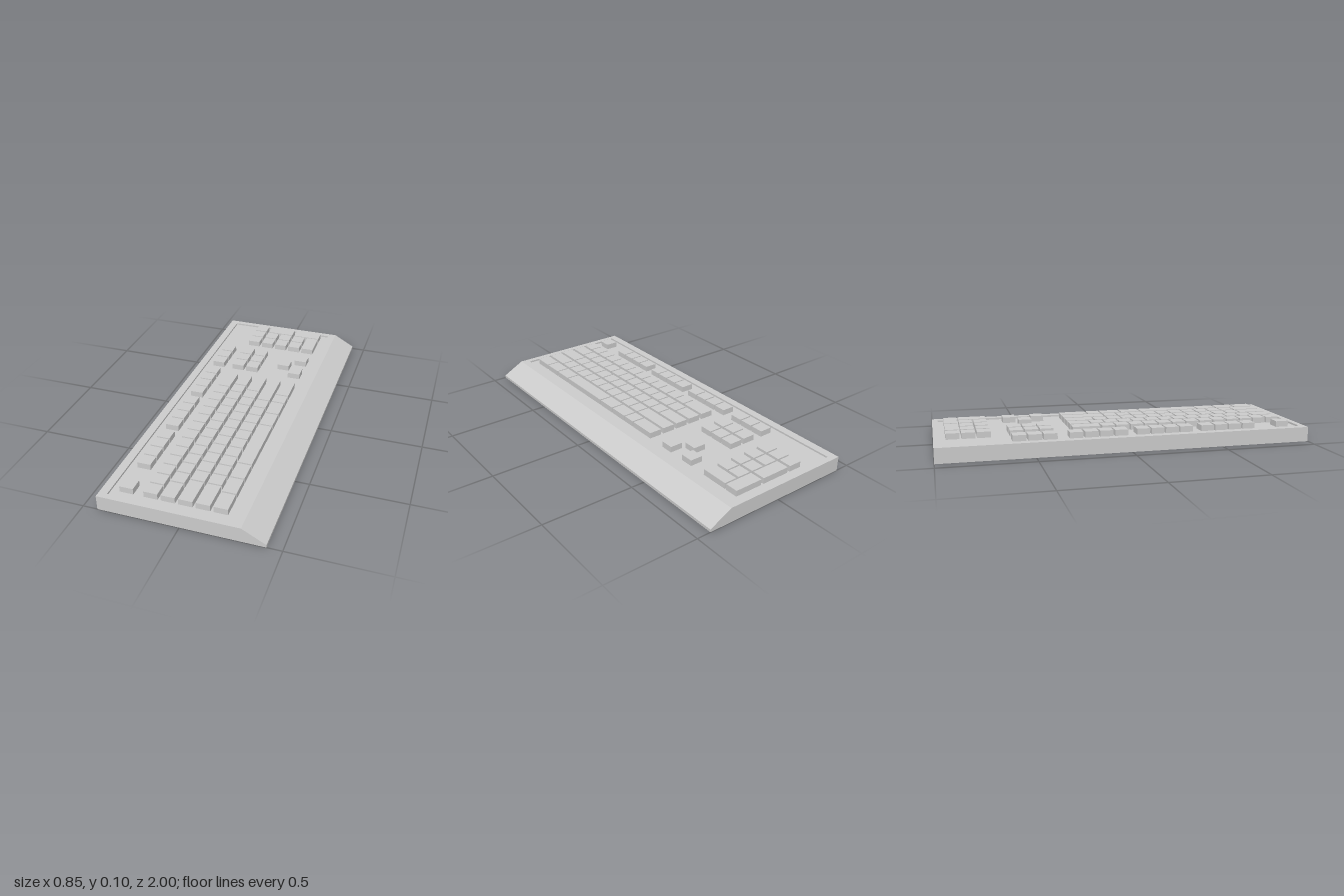
import * as THREE from 'three';

const FLOOR = 0.07, DECK = 0.08, KEY_TOP = 0.102; // heights
const U = 0.0802, GAP = 0.009, ORIGIN = 0.927;    // key pitch along z, gap, start of the rows
const ROW_W = 0.072;
const ROWS = { fn: -0.301, digit: -0.175, upper: -0.086, home: 0.003, lower: 0.091, bottom: 0.179 };

export function createModel() {
  const group = new THREE.Group();
  group.name = 'keyboard';
  const material = new THREE.MeshStandardMaterial({ color: 0xcccccc, flatShading: true });

  function add(parent, geometry, name) {
    const mesh = new THREE.Mesh(geometry, material);
    mesh.name = name;
    parent.add(mesh);
  }

  // case: one wedge profile run along z, notched in the middle to form the sunken key tray
  const start = [[-0.424, 0], [0.424, 0], [0.424, 0.015], [0.303, DECK]];
  const notch = [[0.26, DECK], [0.26, FLOOR], [-0.38, FLOOR], [-0.38, DECK]];
  const end = [[-0.424, DECK]];
  function caseSection(points, z0, z1, name) {
    const shape = new THREE.Shape(points.map(([x, y]) => new THREE.Vector2(x, y)));
    const geometry = new THREE.ExtrudeGeometry(shape, { depth: z1 - z0, bevelEnabled: false });
    add(group, geometry.translate(0, 0, z0), name);
  }
  caseSection([...start, ...end], 0.968, 1, 'caseLeftEnd');
  caseSection([...start, ...notch, ...end], -0.968, 0.968, 'caseTray');
  caseSection([...start, ...end], -1, -0.968, 'caseRightEnd');

  const keys = new THREE.Group();
  keys.name = 'keys';
  group.add(keys);

  // one key: row(s) it covers, offset along the row and length, both in key pitches
  function key(from, at, size, to = from) {
    const x0 = ROWS[from] - ROW_W / 2, x1 = ROWS[to] + ROW_W / 2;
    const height = KEY_TOP - FLOOR;
    const geometry = new THREE.BoxGeometry(x1 - x0, height, size * U - GAP);
    geometry.translate((x0 + x1) / 2, FLOOR + height / 2, ORIGIN - (at + size / 2) * U);
    add(keys, geometry, from + 'Key');
  }
  function run(row, at, sizes) {
    for (const size of sizes) {
      key(row, at, size);
      at += size;
    }
  }
  const ones = (n) => Array(n).fill(1);

  // function row
  run('fn', 0, [1]);
  for (const at of [2.5, 7, 11.5]) run('fn', at, ones(4));

  // main block
  run('digit', 0, [...ones(13), 2]);
  run('upper', 0, [1.5, ...ones(12), 1.5]);
  run('home', 0, [2, ...ones(11), 2]);
  run('lower', 0, [2, ...ones(10), 3]);
  run('bottom', 0, [1.5, 1.5, 1.5, 4.5, 1.5, 1.5, 1, 2]);

  // navigation block and arrows
  for (const row of ['fn', 'digit', 'upper', 'bottom']) {
    if (row !== 'bottom') run(row, 16.2, ones(3));
  }
  run('lower', 17.2, [1]);
  run('bottom', 16.2, [1]);
  run('bottom', 18.2, [1]);

  // number pad with two double-depth keys and one double-width key
  run('digit', 20.3, ones(3));
  for (const row of ['upper', 'home', 'lower']) run(row, 20.3, ones(2));
  run('bottom', 20.3, [2]);
  key('upper', 22.3, 1, 'home');
  key('lower', 22.3, 1, 'bottom');

  return group;
}
